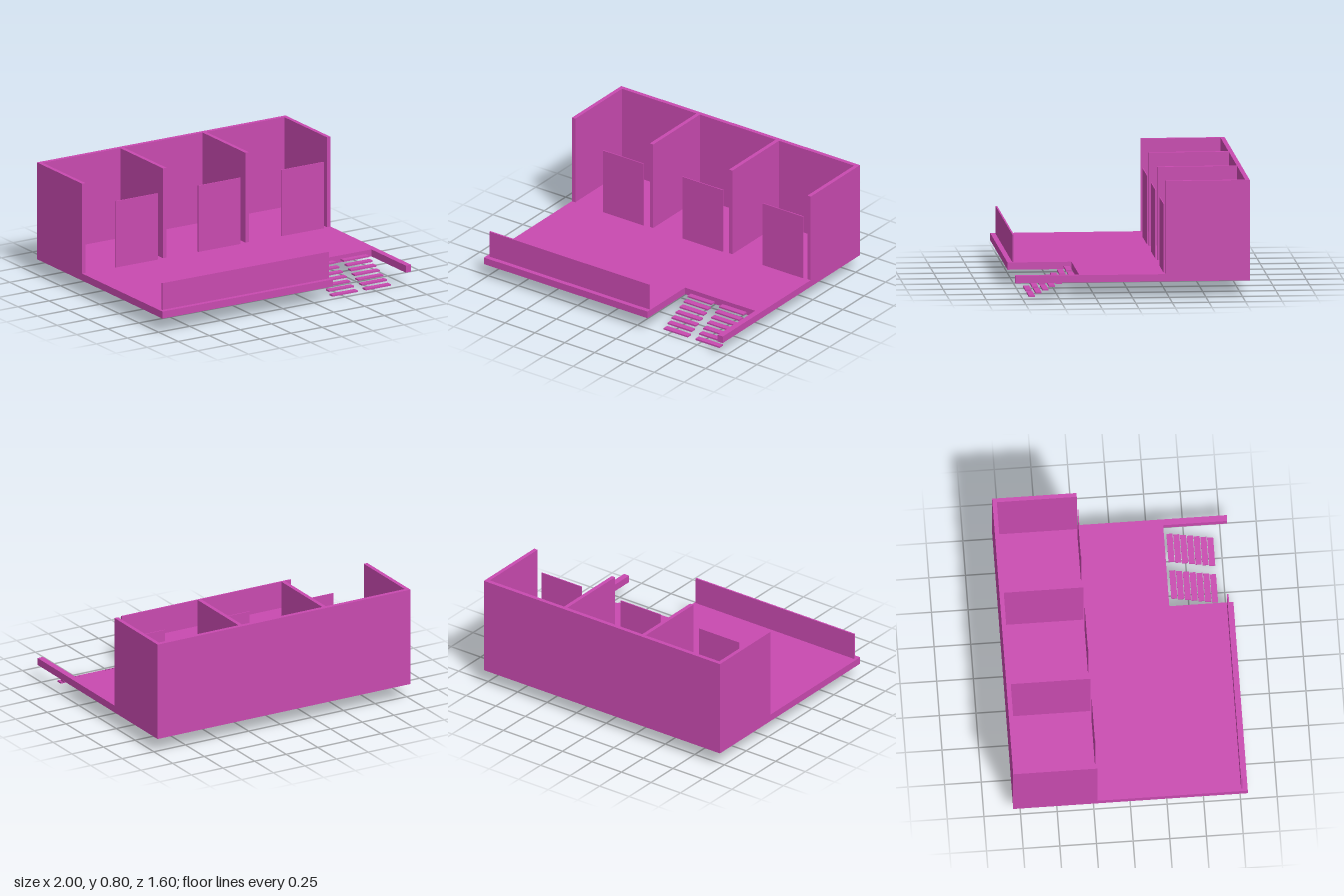
import * as THREE from 'three';

export function createModel() {
  const group = new THREE.Group();
  const magenta = new THREE.MeshStandardMaterial({ color: 0xc94ab0 });
  magenta.name = 'magenta';

  const add = (name, geometry) => {
    const mesh = new THREE.Mesh(geometry, magenta);
    mesh.name = name;
    group.add(mesh);
    return mesh;
  };
  // Box given by its limits on each axis
  const box = (name, x0, x1, y0, y1, z0, z1) =>
    add(name, new THREE.BoxGeometry(x1 - x0, y1 - y0, z1 - z0))
      .position.set((x0 + x1) / 2, (y0 + y1) / 2, (z0 + z1) / 2);

  const floorY = 0.16, wallTop = 0.8, wallFront = -0.225;

  // Floor slab with a stairwell notch in the front edge (shape y becomes -z)
  const outline = [[-1, -0.8], [0.37, -0.8], [0.37, -0.363], [0.957, -0.363],
    [0.957, -0.8], [1, -0.8], [1, 0.8], [-1, 0.8]];
  const slab = new THREE.ExtrudeGeometry(
    new THREE.Shape(outline.map(([x, y]) => new THREE.Vector2(x, y))),
    { depth: 0.05, bevelEnabled: false });
  slab.rotateX(-Math.PI / 2);
  add('floorSlab', slab).position.y = 0.11;

  // Back wall, end walls and the two dividers
  box('backWall', -1, 1, floorY, wallTop, -0.8, -0.77);
  box('rightEndWall', -1, -0.972, floorY, wallTop, -0.77, wallFront);
  box('leftEndWall', 0.972, 1, floorY, wallTop, -0.77, wallFront);
  box('rightDivider', -0.348, -0.32, floorY, wallTop, -0.77, wallFront);
  box('leftDivider', 0.315, 0.343, floorY, wallTop, -0.77, wallFront);

  // Thin door panel in front of each bay
  for (const x of [-0.735, -0.07, 0.6])
    box('doorPanel', x, x + 0.34, floorY, 0.632, -0.224, -0.217);

  // Low parapet along the front edge
  box('frontParapet', -0.98, 0.36, floorY, 0.35, 0.755, 0.766);

  // Two flights of seven floating treads
  for (const [x0, x1] of [[0.432, 0.634], [0.698, 0.9]])
    for (let i = 0; i < 7; i++) {
      const y = 0.0217 * i, z = 0.7 - 0.0463 * i;
      box('stairTread', x0, x1, y, y + 0.011, z - 0.041, z);
    }

  return group;
}
